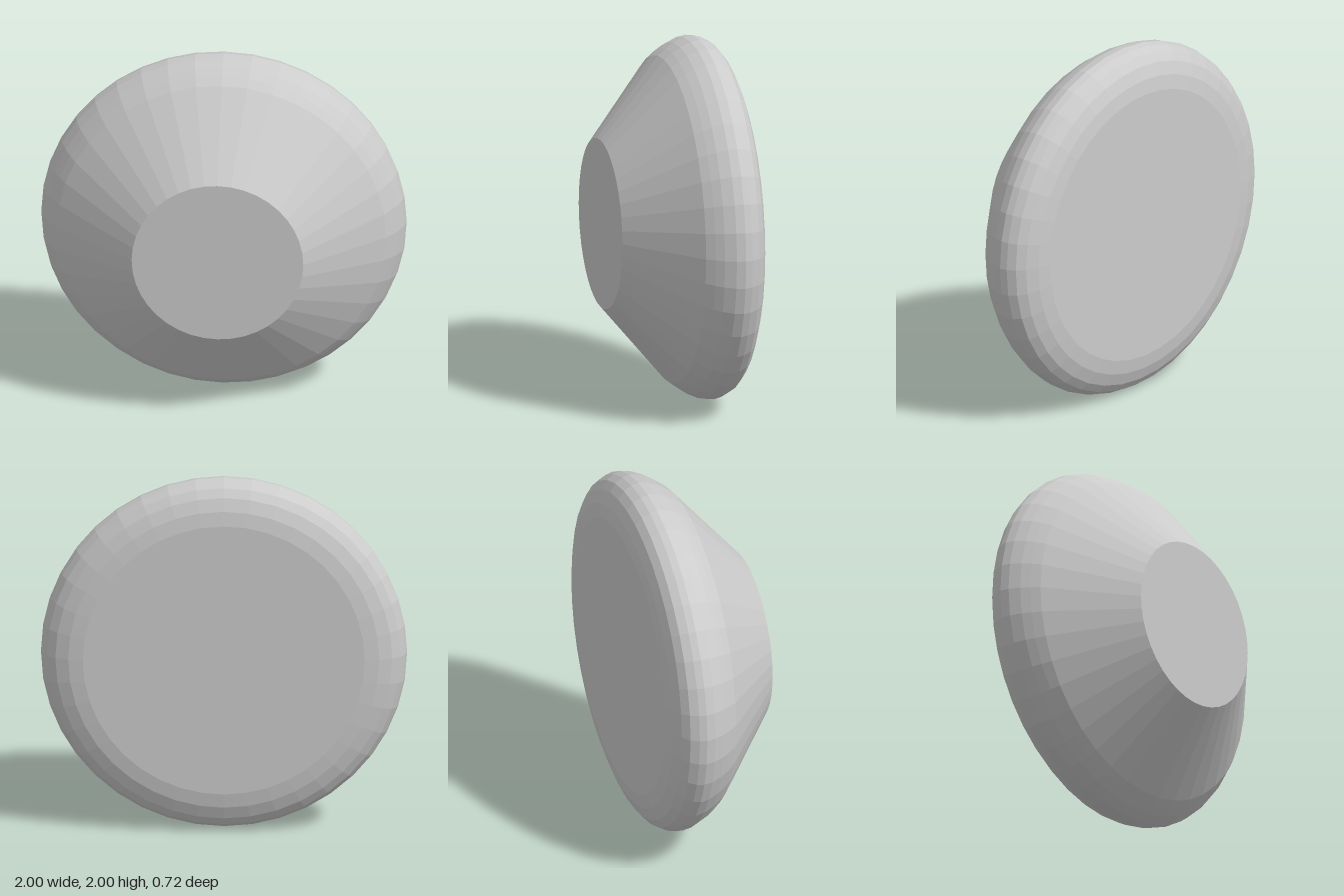
import * as THREE from 'three';

const SIDES = 40;

// Turned solid whose axis runs along z; points are [radius, z] from back to front.
function turned(name, points, material) {
  const profile = points.map(([r, z]) => new THREE.Vector2(r, z));
  const geometry = new THREE.LatheGeometry(profile, SIDES);
  geometry.rotateX(Math.PI / 2);
  const mesh = new THREE.Mesh(geometry, material);
  mesh.name = name;
  mesh.position.y = 1;
  return mesh;
}

export function createModel() {
  const group = new THREE.Group();
  group.name = 'taperedKnob';
  const material = new THREE.MeshStandardMaterial({ color: 0xcccccc, flatShading: true });

  // Flat back disc
  group.add(turned('backFace', [[0, -0.36], [0.77, -0.36]], material));
  // Rounded rim around the widest part
  group.add(turned('roundedRim', [
    [0.77, -0.36], [0.85, -0.347], [0.92, -0.32], [0.965, -0.285], [0.99, -0.24],
    [1, -0.2], [0.992, -0.15], [0.965, -0.09], [0.935, -0.045], [0.9, 0],
  ], material));
  // Straight cone narrowing to the front
  group.add(turned('taperedSide', [[0.9, 0], [0.47, 0.36]], material));
  // Flat front disc
  group.add(turned('frontFace', [[0.47, 0.36], [0, 0.36]], material));

  return group;
}
